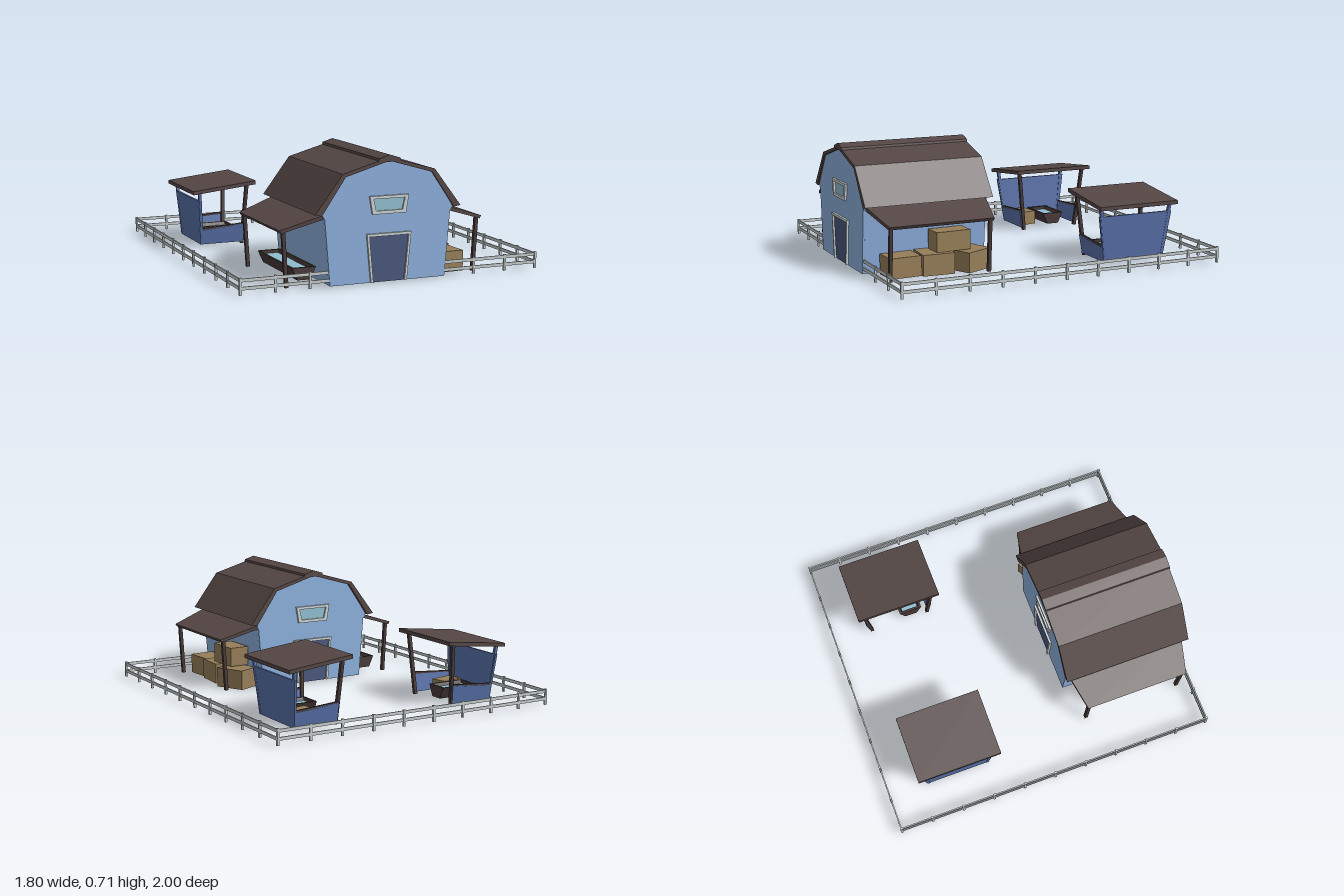
import * as THREE from 'three';

const mat = (name, color) => {
  const m = new THREE.MeshStandardMaterial({ color });
  m.name = name;
  return m;
};

export function createModel() {
  const M = {
    wall: mat('pale blue wall', 0x8cafdc),
    shed: mat('deep blue boards', 0x5870a8),
    door: mat('navy door', 0x48577c),
    roof: mat('dark brown roof', 0x544644),
    post: mat('dark timber', 0x473938),
    hay: mat('straw', 0x967e58),
    trim: mat('light grey trim', 0xccd2d2),
    fence: mat('fence grey', 0xc4caca),
    glass: mat('pale glass and water', 0x90bdd0),
  };
  const root = new THREE.Group();

  const add = (parent, name, geo, material) => {
    const m = new THREE.Mesh(geo, material);
    m.name = name;
    parent.add(m);
    return m;
  };
  const group = (parent, name, x = 0, y = 0, z = 0, ry = 0) => {
    const g = new THREE.Group();
    g.name = name;
    g.position.set(x, y, z);
    g.rotation.y = ry;
    parent.add(g);
    return g;
  };
  const shapeOf = pts => new THREE.Shape(pts.map(p => new THREE.Vector2(...p)));
  // Extrude an xy outline from z0 to z1, with an optional hole
  const slab = (pts, z0, z1, hole) => {
    const s = shapeOf(pts);
    if (hole) s.holes.push(shapeOf(hole));
    return new THREE.ExtrudeGeometry(s, { depth: z1 - z0, bevelEnabled: false }).translate(0, 0, z0);
  };
  // Move vertices by a rule, then rebuild flat normals
  const warp = (geo, rule) => {
    const g = geo.index ? geo.toNonIndexed() : geo, p = g.attributes.position;
    for (let i = 0; i < p.count; i++) p.setXYZ(i, ...rule(p.getX(i), p.getY(i), p.getZ(i)));
    g.computeVertexNormals();
    return g;
  };
  const box = (parent, name, w, h, d, x, y, z, material) =>
    add(parent, name, new THREE.BoxGeometry(w, h, d).translate(x, y, z), material);
  // Square timber between two points
  const beam = (parent, name, a, b, t, material) => {
    const A = new THREE.Vector3(...a), B = new THREE.Vector3(...b);
    const dir = B.clone().sub(A);
    const m = add(parent, name, new THREE.BoxGeometry(t, dir.length(), t), material);
    m.position.copy(A).add(B).multiplyScalar(0.5);
    m.quaternion.setFromUnitVectors(new THREE.Vector3(0, 1, 0), dir.normalize());
  };
  // Trapezoid outline, centred on x = 0
  const trap = (wBottom, wTop, y0, y1) =>
    [[-wBottom / 2, y0], [wBottom / 2, y0], [wTop / 2, y1], [-wTop / 2, y1]];

  // Feeding trough running along local z
  const trough = (parent, x, y, z, len, ry = 0) => {
    const g = group(parent, 'trough', x, y, z, ry), h = len / 2;
    add(g, 'troughSides', slab([[-0.038, 0], [0.038, 0], [0.07, 0.07], [0.058, 0.07],
      [0.031, 0.012], [-0.031, 0.012], [-0.058, 0.07], [-0.07, 0.07]], -h, h), M.post);
    for (const s of [-1, 1])
      add(g, 'troughEnd', slab(trap(0.075, 0.139, 0.001, 0.07), s * h - 0.007, s * h + 0.007), M.post);
    add(g, 'water', slab(trap(0.088, 0.1, 0.042, 0.051), 0.002 - h, h - 0.002), M.glass);
  };
  const bale = (parent, x, y, z, w, h, d, ry) =>
    box(group(parent, 'bale', x, y, z, ry), 'hayBale', w, h, d, 0, h / 2, 0, M.hay);

  // ---- Barn ----
  const barn = group(root, 'barn', -0.038);
  const Z0 = 0.235, Z1 = 0.986, T = 0.012;
  const gable = [[-0.345, 0.005], [0.345, 0.005], [0.376, 0.37], [0.392, 0.396], [0.262, 0.599],
    [0, 0.676], [-0.262, 0.599], [-0.392, 0.396], [-0.376, 0.37]];
  for (const [z, name] of [[Z0, 'backWall'], [Z1 - T, 'frontWall']])
    add(barn, name, slab(gable, z, z + T), M.wall);
  for (const s of [-1, 1]) {
    const pts = [[0.331, 0.005], [0.345, 0.005], [0.378, 0.39], [0.364, 0.39]];
    add(barn, 'sideWall', slab(pts.map(([x, y]) => [s * x, y]), Z0 + T, Z1 - T), M.wall);
  }
  const upper = [[-0.436, 0.4], [-0.275, 0.612], [0, 0.69], [0.275, 0.612], [0.436, 0.4]];
  const lower = [[0.396, 0.393], [0.258, 0.595], [0, 0.67], [-0.258, 0.595], [-0.396, 0.393]];
  add(barn, 'mainRoof', slab([...upper, ...lower], 0.215, 0.995), M.roof);
  add(barn, 'ridgeCap', slab([[-0.066, 0.665], [0.066, 0.665], [0.062, 0.685], [0, 0.704], [-0.062, 0.685]],
    0.213, 0.998), M.roof);

  // Doors and windows at both gables, showing inside and out
  for (const [name, zi, zo] of [['front', Z1 - T, Z1], ['back', Z0, Z0 + T]]) {
    const a = zi - 0.003, b = zo + 0.003;
    add(barn, name + 'Door', slab(trap(0.185, 0.24, 0.006, 0.26), a, b), M.door);
    add(barn, name + 'DoorFrame', slab([[-0.108, 0.006], [-0.094, 0.006], [-0.118, 0.26], [0.118, 0.26],
      [0.094, 0.006], [0.108, 0.006], [0.133, 0.275], [-0.133, 0.275]], zi - 0.013, zo + 0.013), M.trim);
    add(barn, name + 'Window', slab(trap(0.16, 0.19, 0.4, 0.465), a, b), M.glass);
    add(barn, name + 'WindowFrame', slab(trap(0.2, 0.234, 0.382, 0.482), zi - 0.013, zo + 0.013,
      trap(0.158, 0.188, 0.4, 0.466)), M.trim);
  }

  // Lean-to roofs, wider where they meet the barn
  for (const s of [-1, 1]) {
    const zc = 0.603;
    const pts = [[0.37, 0.372], [0.6, 0.3], [0.61, 0.317], [0.37, 0.394]].map(([x, y]) => [s * x, y]);
    add(barn, 'leanToRoof', warp(slab(pts, -1, 1), (x, y, z) =>
      [x, y, zc + z * THREE.MathUtils.mapLinear(Math.abs(x), 0.37, 0.61, 0.368, 0.315)]), M.roof);
    for (const dz of [-0.3, 0.3])
      beam(barn, 'leanToPost', [s * 0.566, 0, zc + dz], [s * 0.585, 0.31, zc + dz], 0.02, M.post);
  }
  trough(root, -0.485, 0.025, 0.6, 0.52);

  // Hay stacked under one lean-to
  const stack = group(root, 'hayStack');
  bale(stack, 0.4, 0, 0.79, 0.15, 0.118, 0.19, 0.06);
  bale(stack, 0.41, 0, 0.59, 0.17, 0.122, 0.19, -0.05);
  bale(stack, 0.42, 0, 0.37, 0.15, 0.118, 0.19, 0.45);
  bale(stack, 0.397, 0.122, 0.49, 0.12, 0.115, 0.21, 0.04);

  // ---- Animal sheds: open inside face, tall outer wall, low end panels ----
  const shed = (name, x, z, ry, troughZ) => {
    const g = group(root, name, x, 0, z, ry);
    add(g, 'shedRoof', slab([[-0.2, 0.374], [0.2, 0.33], [0.2, 0.352], [-0.2, 0.397]], -0.257, 0.257), M.roof);
    // Walls flare outward with height
    const flare = (px, y, pz) => [px + Math.sign(px) * 0.075 * y, y, pz * (1 + 0.8 * y)];
    add(g, 'outerWall', warp(new THREE.BoxGeometry(0.014, 0.275, 0.39).translate(0.13, 0.148, 0), flare), M.shed);
    for (const s of [-1, 1]) {
      add(g, 'endPanel', warp(slab([[-0.13, 0.012], [0.13, 0.012], [0.13, 0.106], [-0.13, 0.126]],
        s * 0.189 - 0.006, s * 0.189 + 0.006), flare), M.shed);
      beam(g, 'panelRail', [-0.135, 0.126, s * 0.207], [0.132, 0.106, s * 0.205], 0.013, M.post);
      beam(g, 'outerUpright', [0.131, 0.012, s * 0.187], [0.154, 0.337, s * 0.23], 0.018, M.shed);
      beam(g, 'innerPost', [-0.13, 0, s * 0.182], [-0.152, 0.38, s * 0.225], 0.02, M.post);
    }
    trough(g, -0.01, 0.02, troughZ, 0.22, Math.PI / 2);
    bale(g, 0.045, 0.005, -0.105, 0.14, 0.085, 0.1, 0.2);
  };
  shed('leftShed', 0.525, -0.567, 0, 0.08);
  shed('rightShed', -0.53, -0.555, Math.PI, 0.03);

  // ---- Fence ----
  const fence = group(root, 'fence');
  const FX = 0.893, FZ0 = -0.993, FZ1 = 0.977, FM = (FZ0 + FZ1) / 2;
  const post = (x, z) => box(fence, 'fencePost', 0.013, 0.094, 0.013, x, 0.047, z, M.fence);
  for (let i = 0; i <= 9; i++) {
    const x = -FX + i * FX * 2 / 9;
    post(x, FZ0);
    // The barn front takes the place of the middle posts
    if (i < 3 || i > 6) post(x, FZ1);
  }
  for (let i = 1; i < 10; i++)
    for (const x of [-FX, FX]) post(x, FZ0 + i * (FZ1 - FZ0) / 10);
  for (const y of [0.036, 0.08]) {
    for (const x of [-FX, FX]) box(fence, 'sideRail', 0.008, 0.018, FZ1 - FZ0, x, y, FM, M.fence);
    box(fence, 'backRail', FX * 2, 0.018, 0.008, 0, y, FZ0, M.fence);
    // Front rails stop at the barn
    box(fence, 'frontRail', 0.51, 0.018, 0.008, -0.638, y, FZ1, M.fence);
    box(fence, 'frontRail', 0.59, 0.018, 0.008, 0.598, y, FZ1, M.fence);
  }
  return root;
}
